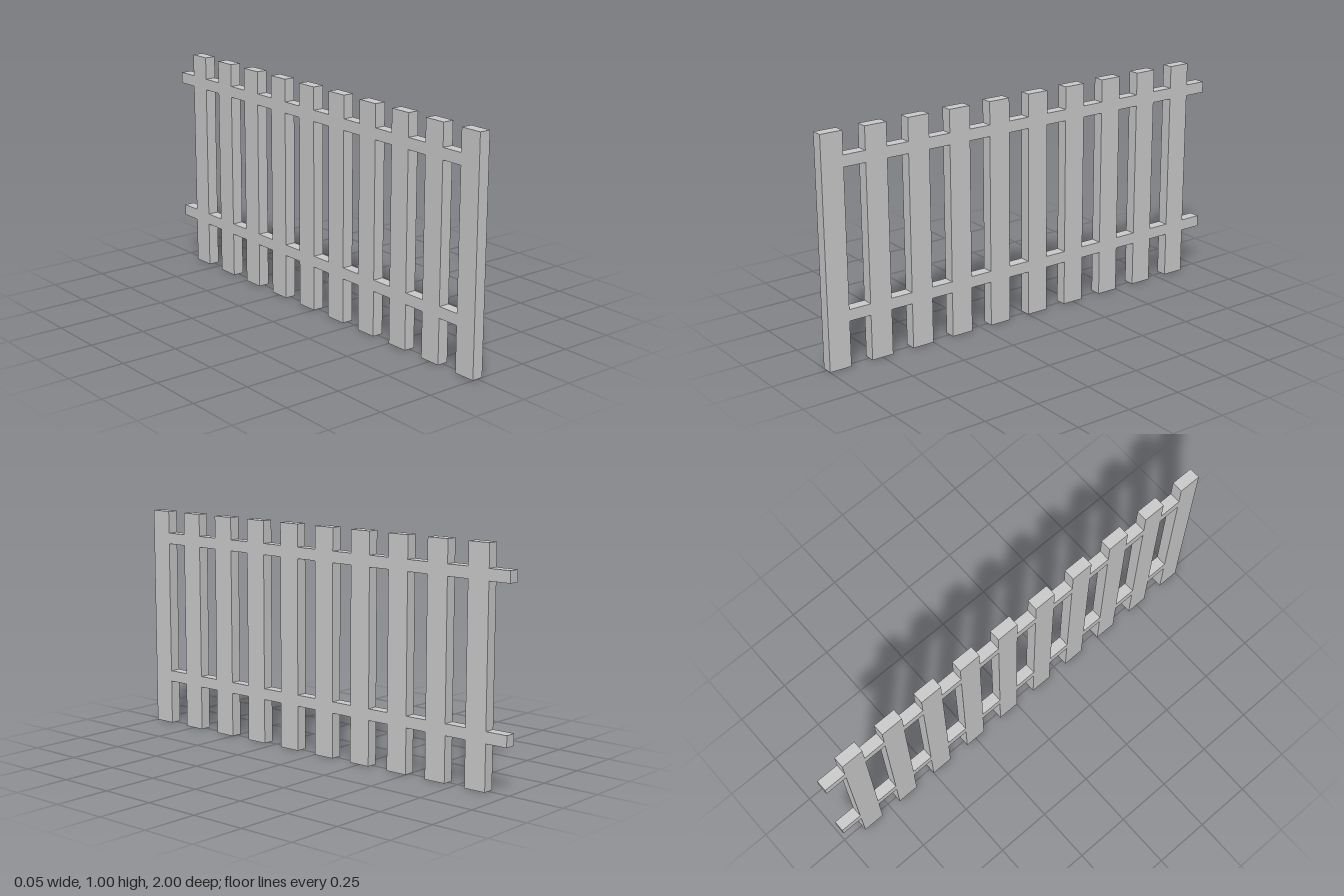
import * as THREE from 'three';

const COUNT = 10;       // pickets, each followed by one gap
const WIDTH = 0.1;      // picket and gap width along z
const THICKNESS = 0.05;
const HEIGHT = 1;

export function createModel() {
  const fence = new THREE.Group();
  fence.name = 'fence';
  const material = new THREE.MeshStandardMaterial({ color: 0xcccccc, flatShading: true });

  const picketGeometry = new THREE.BoxGeometry(THICKNESS, HEIGHT, WIDTH);
  const railGeometry = new THREE.BoxGeometry(THICKNESS, 0.05, WIDTH);

  const add = (parent, geometry, name, y, z) => {
    const mesh = new THREE.Mesh(geometry, material);
    mesh.name = name;
    mesh.position.set(0, y, z);
    parent.add(mesh);
  };

  const pickets = new THREE.Group();
  pickets.name = 'pickets';
  const lowerRail = new THREE.Group();
  lowerRail.name = 'lowerRail';
  const upperRail = new THREE.Group();
  upperRail.name = 'upperRail';
  fence.add(pickets, lowerRail, upperRail);

  // Rails are flush with the pickets, so they only fill the gaps;
  // the last piece sticks out past the end picket.
  for (let i = 0; i < COUNT; i++) {
    const z = 1 - WIDTH / 2 - i * WIDTH * 2;
    add(pickets, picketGeometry, 'picket', HEIGHT / 2, z);
    add(lowerRail, railGeometry, 'lowerRailPiece', 0.225, z - WIDTH);
    add(upperRail, railGeometry, 'upperRailPiece', 0.875, z - WIDTH);
  }
  return fence;
}
